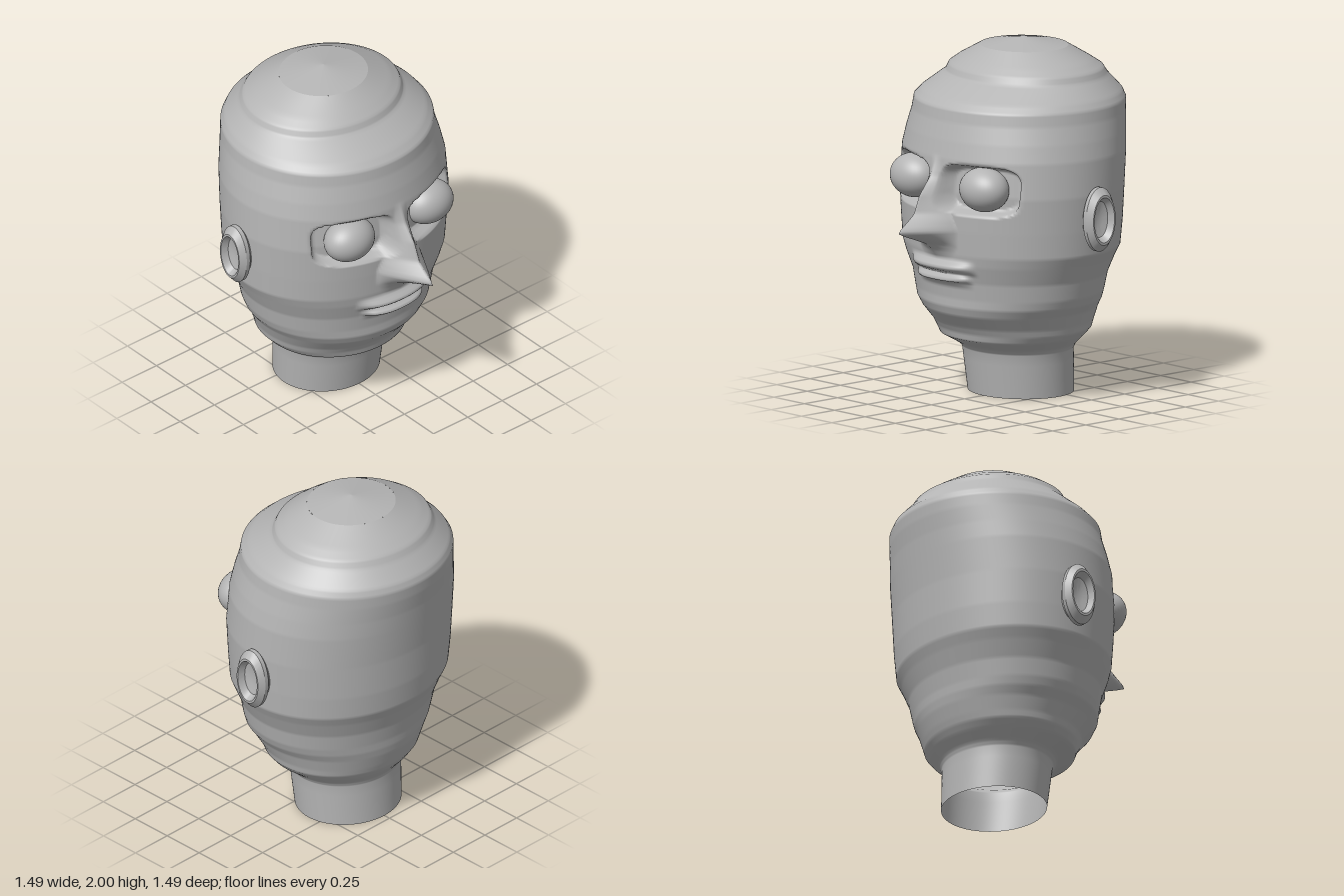
import * as THREE from 'three';
import { toCreasedNormals } from 'three/addons/utils/BufferGeometryUtils.js';

// Head cross-sections: [y, half width, front z, back z]
const SECTIONS = [
  [0, 0.31, 0.11, -0.46], [0.25, 0.325, 0.145, -0.45], [0.28, 0.345, 0.17, -0.46],
  [0.34, 0.42, 0.28, -0.51], [0.38, 0.455, 0.29, -0.535], [0.42, 0.465, 0.315, -0.55],
  [0.5, 0.5, 0.385, -0.575], [0.55, 0.535, 0.405, -0.585], [0.6, 0.555, 0.405, -0.59],
  [0.7, 0.575, 0.42, -0.61], [0.8, 0.62, 0.45, -0.645], [0.86, 0.65, 0.46, -0.67],
  [1.0, 0.66, 0.47, -0.685], [1.2, 0.67, 0.48, -0.695], [1.4, 0.66, 0.465, -0.715],
  [1.5, 0.64, 0.445, -0.725], [1.6, 0.615, 0.42, -0.74], [1.67, 0.605, 0.41, -0.745],
  [1.71, 0.575, 0.365, -0.73], [1.8, 0.48, 0.21, -0.645], [1.84, 0.46, 0.19, -0.62],
  [1.88, 0.4, 0.14, -0.56], [1.955, 0.255, 0.04, -0.44],
];
// Nose: [y, ridge z, half width]
const NOSE = [
  [0.83, 0.455, 0.1], [0.88, 0.49, 0.14], [0.92, 0.54, 0.16], [0.95, 0.62, 0.16],
  [0.98, 0.7, 0.16], [1.0, 0.745, 0.16], [1.02, 0.735, 0.155], [1.06, 0.68, 0.14],
  [1.1, 0.63, 0.12], [1.2, 0.59, 0.07], [1.3, 0.51, 0.05], [1.42, 0.46, 0.04],
];
// Lips: [y, bulge]
const LIPS = [
  [0.67, 0], [0.7, 0.02], [0.715, 0.07], [0.73, 0.06], [0.742, 0.015], [0.757, 0.015],
  [0.77, 0.045], [0.79, 0.055], [0.81, 0.03], [0.83, 0],
];

// Linear lookup in a table sorted by its first column
function sample(table, y, col) {
  if (y <= table[0][0]) return table[0][col];
  for (let i = 1; i < table.length; i++) {
    const a = table[i - 1], b = table[i];
    if (y <= b[0]) return a[col] + ((b[col] - a[col]) * (y - a[0])) / (b[0] - a[0]);
  }
  return table[table.length - 1][col];
}

// Forward offset that sculpts sockets, nose and lips
function faceOffset(x, y, front) {
  const ax = Math.abs(x);
  let d = 0;
  const socket = Math.pow((ax - 0.27) / 0.225, 4) + Math.pow((y - 1.24) / 0.14, 4);
  if (socket < 1) d -= 0.08 * Math.min(1, (1 - socket) * 1.8);
  if (y > 0.83 && y < 1.42) {
    const rise = Math.max(0, sample(NOSE, y, 1) - front);
    const k = Math.max(0, 1 - ax / sample(NOSE, y, 2));
    d = Math.max(d, d * (1 - k) + rise * k);
  }
  const lipWidth = y > 0.75 ? 0.26 : 0.22;
  d += sample(LIPS, y, 1) * Math.max(0, 1 - Math.pow(ax / lipWidth, 4));
  return d;
}

function headGeometry() {
  const cols = 200, rows = [], pos = [], index = [];
  for (let i = 1; i < SECTIONS.length; i++) {
    const a = SECTIONS[i - 1][0], b = SECTIONS[i][0];
    const n = a < 0.25 ? 4 : Math.ceil((b - a) / 0.012);
    for (let k = 0; k < n; k++) rows.push(a + ((b - a) * k) / n);
  }
  rows.push(1.955);
  rows.forEach((y, r) => {
    const w = sample(SECTIONS, y, 1), f = sample(SECTIONS, y, 2), b = sample(SECTIONS, y, 3);
    for (let c = 0; c < cols; c++) {
      const t = (c / cols) * 2 * Math.PI - Math.PI;
      const a = t - 0.6 * Math.sin(t); // columns crowd toward the face
      const x = w * Math.sin(a);
      let z = (f + b) / 2 + ((f - b) / 2) * Math.cos(a);
      if (Math.cos(a) > 0) z += faceOffset(x, y, f);
      pos.push(x, y, z);
      if (r < rows.length - 1) {
        const p = r * cols + c, q = r * cols + ((c + 1) % cols);
        index.push(p, q, p + cols, q, q + cols, p + cols);
      }
    }
  });
  const g = new THREE.BufferGeometry();
  g.setAttribute('position', new THREE.Float32BufferAttribute(pos, 3));
  g.setIndex(index);
  g.computeVertexNormals();
  return g;
}

export function createModel() {
  const model = new THREE.Group();
  model.name = 'headBust';
  const grey = new THREE.MeshStandardMaterial({ color: 0xb4b4b4, side: THREE.DoubleSide });
  grey.name = 'plain grey';
  const add = (name, geometry) => {
    const mesh = new THREE.Mesh(geometry, grey);
    mesh.name = name;
    model.add(mesh);
    return mesh;
  };

  // Head and open neck
  add('headAndNeck', headGeometry());

  // Shallow cone closing the crown
  const crown = new THREE.ConeGeometry(1, 0.045, 96, 1, true);
  crown.scale(0.255, 1, 0.24);
  add('crown', crown).position.set(0, 1.9775, -0.2);

  // Ear: flared rim around a hollow, turned to point sideways
  const rim = [[0.8, 0], [0.8, 0.06], [1, 0.085], [1, 0.11], [0.78, 0.145], [0.7, 0.145], [0.56, 0.105], [0.3, 0.095], [0, 0.09]]
    .map(([r, h]) => new THREE.Vector2(r, h));
  const ear = new THREE.LatheGeometry(rim, 64);
  ear.scale(0.182, 1, 0.107);

  for (const side of [1, -1]) {
    const prefix = side > 0 ? 'left' : 'right';
    const earMesh = add(prefix + 'Ear', toCreasedNormals(ear.clone(), 0.5));
    earMesh.rotation.z = (-side * Math.PI) / 2;
    earMesh.position.set(side * 0.6, 1.072, -0.125);

    // Bulging eyeball
    const eye = new THREE.SphereGeometry(1, 40, 28);
    eye.scale(0.155, 0.125, 0.125);
    add(prefix + 'Eye', eye).position.set(side * 0.286, 1.245, 0.363);
  }
  return model;
}
